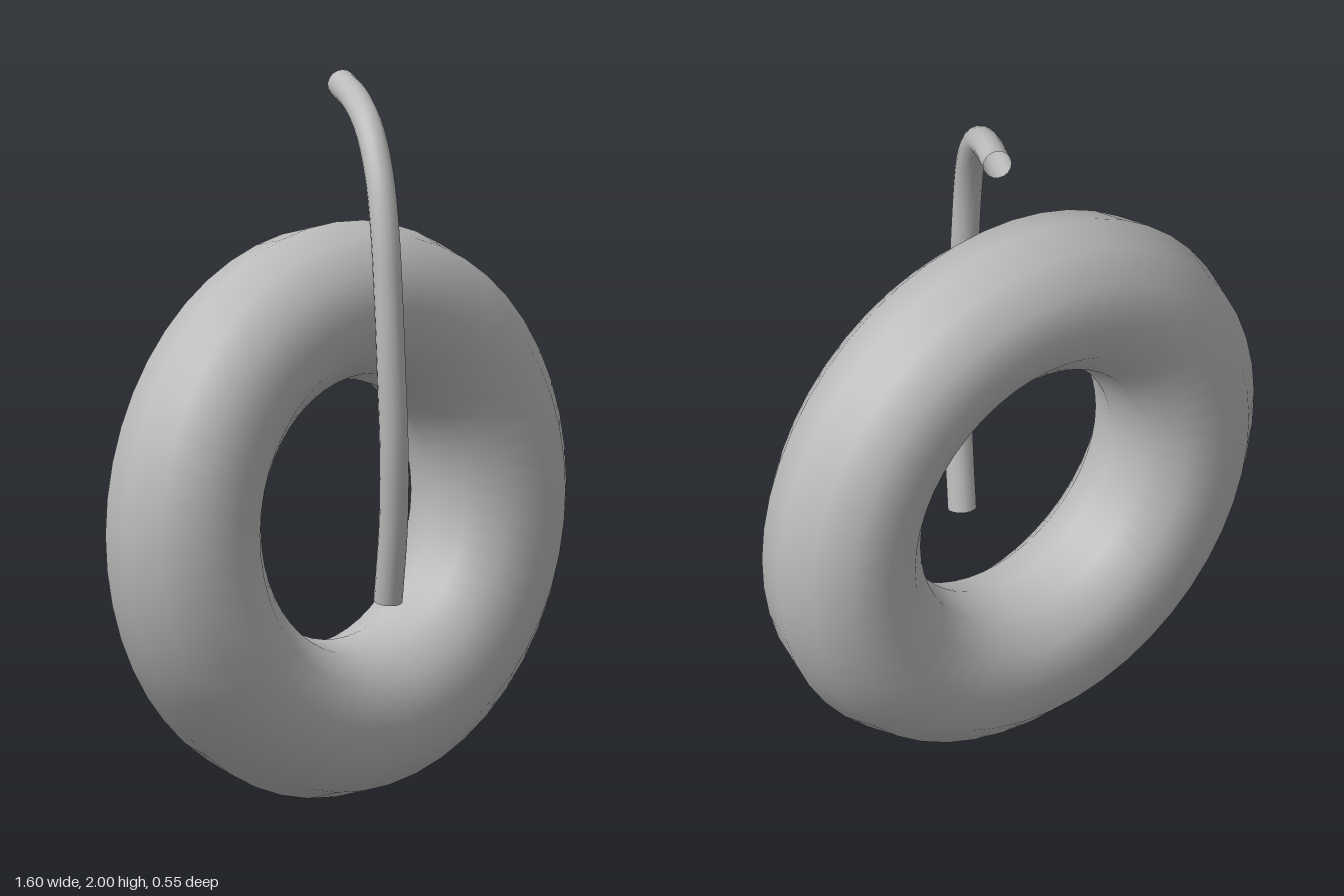
import * as THREE from 'three';

export function createModel() {
  const model = new THREE.Group();
  const grey = new THREE.MeshStandardMaterial({ color: 0xbbbbbb, side: THREE.DoubleSide });
  grey.name = 'plain grey';

  // Upright ring standing on the ground
  const ring = new THREE.Mesh(new THREE.TorusGeometry(0.58, 0.22, 12, 48), grey);
  ring.name = 'ring';
  ring.position.set(0, 0.8, -0.055);
  model.add(ring);

  // Open-ended hose rising in front of the ring and bending back over it
  const path = new THREE.CatmullRomCurve3([
    [-0.003, 0.57, 0.155],
    [-0.027, 0.8, 0.202],
    [-0.05, 1.0, 0.228],
    [-0.063, 1.2, 0.232],
    [-0.065, 1.42, 0.222],
    [-0.057, 1.6, 0.2],
    [-0.033, 1.75, 0.153],
    [0.004, 1.87, 0.075],
    [0.048, 1.932, -0.02],
    [0.108, 1.963, -0.147],
  ].map((p) => new THREE.Vector3(...p)));
  const hose = new THREE.Mesh(new THREE.TubeGeometry(path, 40, 0.04, 16, false), grey);
  hose.name = 'hose';
  model.add(hose);

  return model;
}
